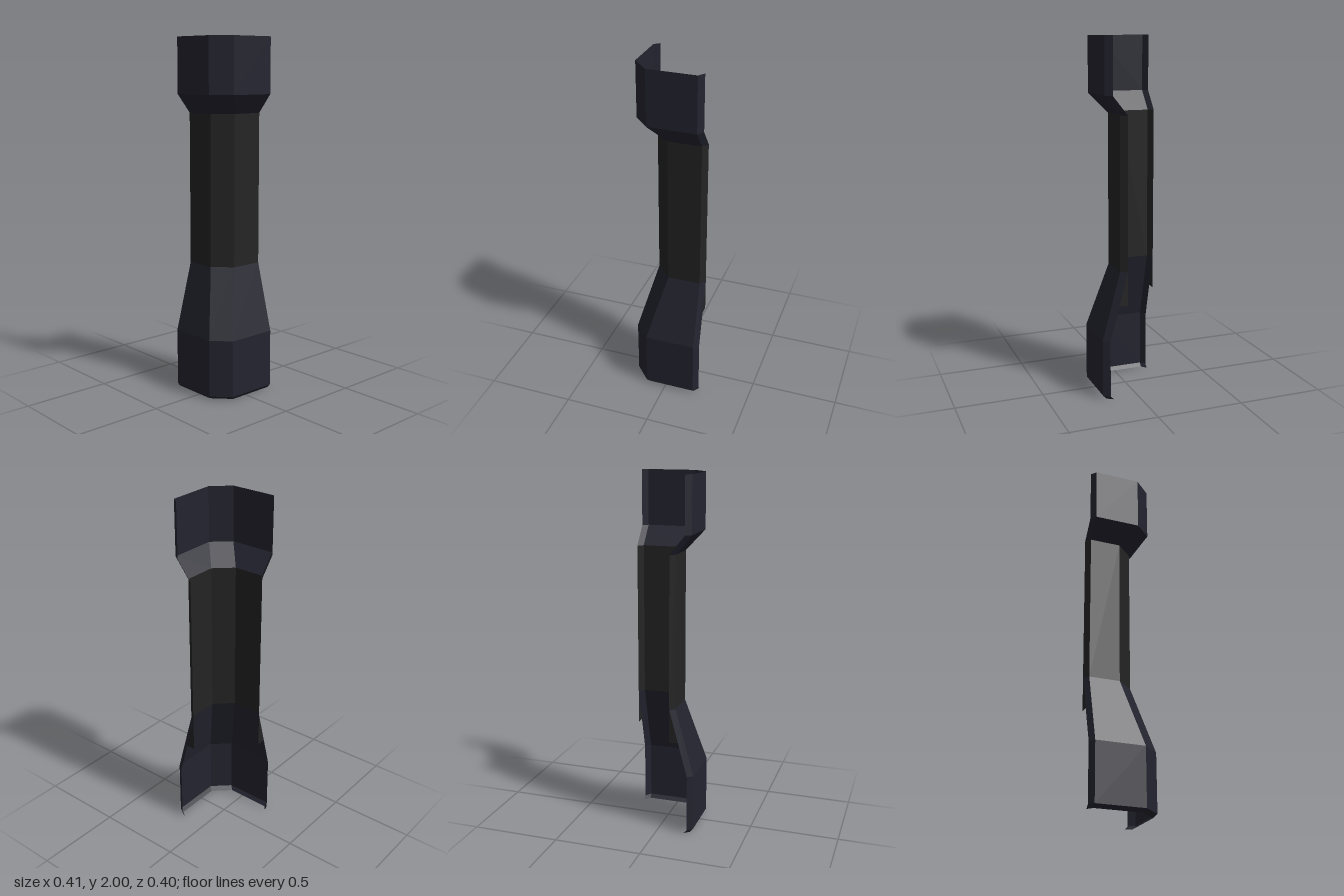
import * as THREE from 'three';

// Plan of the pillar shell from the back lip round the corner to the side lip.
// Columns: x, z, and how the point moves when the shell flares out.
const PLAN = [
  [-0.07, -0.2, -1, 0],
  [-0.1, -0.175, -1, 0],
  [-0.1, 0, -1, 1],
  [-0.01, 0.097, -1, 1],
  [0.178, 0.097, 0, 1],
  [0.203, 0.06, 0, 1],
];

const point = (i, y, flare) => {
  const [x, z, dx, dz] = PLAN[i];
  return [x + dx * flare, y, z + dz * flare];
};

// Open strip of panels through a list of [y, flare] levels, bottom to top
function shell(name, levels, material) {
  const pos = [];
  for (let l = 0; l < levels.length - 1; l++) {
    for (let i = 0; i < PLAN.length - 1; i++) {
      const a = point(i, ...levels[l]), b = point(i + 1, ...levels[l]);
      const c = point(i + 1, ...levels[l + 1]), d = point(i, ...levels[l + 1]);
      pos.push(...a, ...b, ...c, ...a, ...c, ...d);
    }
  }
  return toMesh(name, pos, material);
}

function toMesh(name, pos, material) {
  const g = new THREE.BufferGeometry();
  g.setAttribute('position', new THREE.Float32BufferAttribute(pos, 3));
  g.computeVertexNormals();
  const mesh = new THREE.Mesh(g, material);
  mesh.name = name;
  return mesh;
}

export function createModel() {
  const navy = new THREE.MeshStandardMaterial({ color: 0x242430, side: THREE.DoubleSide, flatShading: true });
  navy.name = 'dark navy';
  const charcoal = new THREE.MeshStandardMaterial({ color: 0x242424, side: THREE.DoubleSide, flatShading: true });
  charcoal.name = 'charcoal';

  const group = new THREE.Group();
  group.name = 'cornerPillar';

  // Base with a small bottom bevel and a taper up to the shaft
  group.add(shell('base', [[0, 0.085], [0.02, 0.103], [0.345, 0.103], [0.73, 0]], navy));
  group.add(shell('shaft', [[0.73, 0], [1.585, 0]], charcoal));
  group.add(shell('capital', [[1.585, 0], [1.69, 0.085], [2, 0.085]], navy));

  // Shaft lips run straight down past the start of the taper
  const lipY = 0.54, lipFlare = 0.103 * (0.73 - lipY) / (0.73 - 0.345);
  for (const [i, name] of [[0, 'backLipEnd'], [5, 'sideLipEnd']]) {
    const tri = [point(i, 0.73, 0), point(i, lipY, lipFlare), point(i, lipY, 0)];
    if (i === 0) tri.reverse();
    group.add(toMesh(name, tri.flat(), charcoal));
  }
  return group;
}
